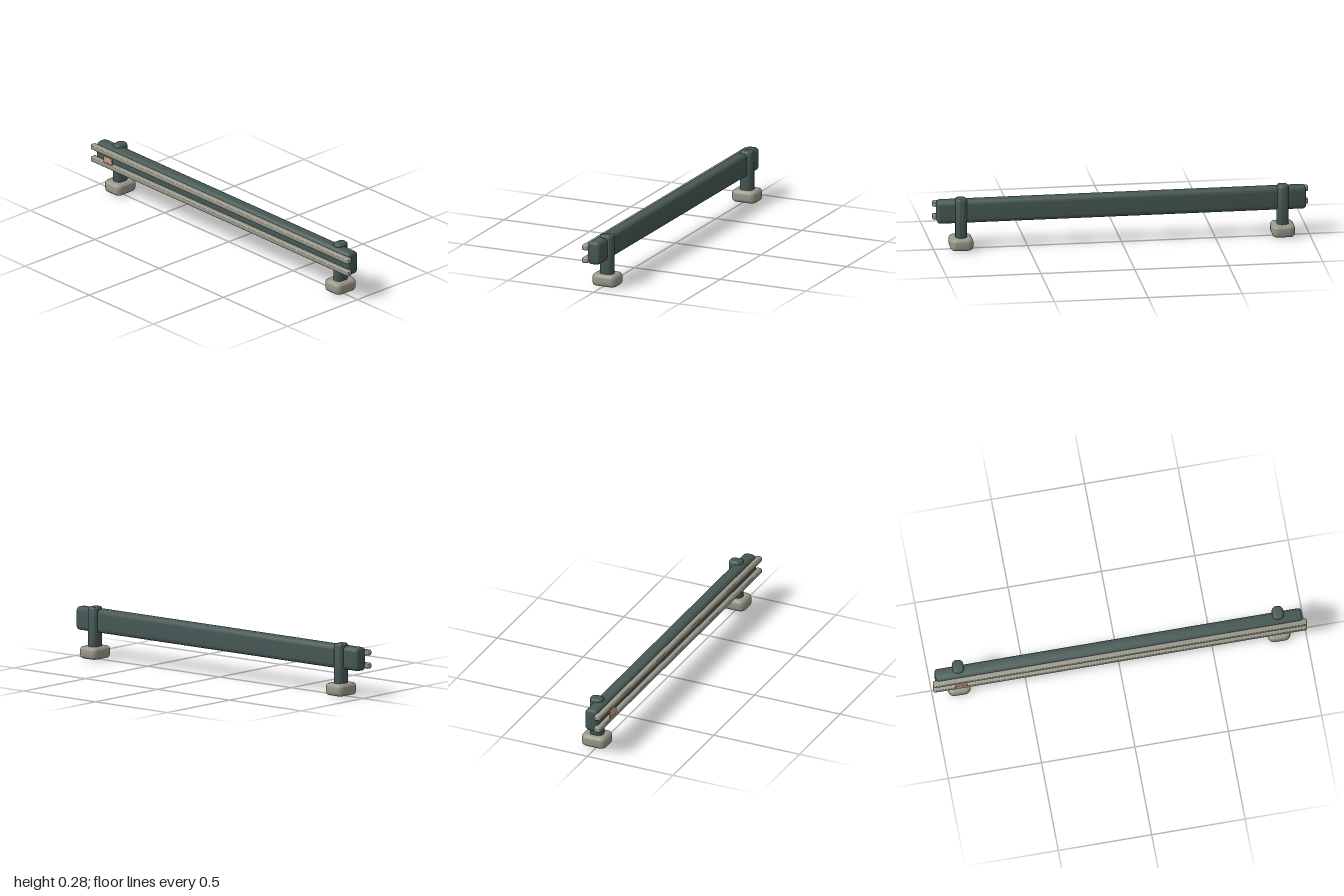
import * as THREE from 'three';
import { toCreasedNormals } from 'three/addons/utils/BufferGeometryUtils.js';

// Bar with a rounded cross-section (w x h), bevelled ends, centred, running along z
function roundedBar(w, h, length, radius, bevel) {
  const x = w / 2, y = h / 2, r = radius;
  const s = new THREE.Shape();
  s.moveTo(-x + r, -y);
  s.lineTo(x - r, -y);
  s.absarc(x - r, -y + r, r, -Math.PI / 2, 0);
  s.lineTo(x, y - r);
  s.absarc(x - r, y - r, r, 0, Math.PI / 2);
  s.lineTo(-x + r, y);
  s.absarc(-x + r, y - r, r, Math.PI / 2, Math.PI);
  s.lineTo(-x, -y + r);
  s.absarc(-x + r, -y + r, r, Math.PI, Math.PI * 1.5);
  const g = new THREE.ExtrudeGeometry(s, {
    depth: length - 2 * bevel, curveSegments: 5,
    bevelEnabled: true, bevelThickness: bevel, bevelSize: bevel,
    bevelOffset: -bevel, bevelSegments: 3,
  });
  g.center();
  return toCreasedNormals(g, 0.6);
}

export function createModel() {
  const model = new THREE.Group();
  model.name = 'barrier';

  const material = (name, color) => {
    const m = new THREE.MeshStandardMaterial({ color });
    m.name = name;
    return m;
  };
  const darkGreen = material('dark grey green', 0x465855);
  const stone = material('stone grey', 0x99988a);
  const copper = material('pale copper', 0xcb9c88);

  const add = (name, geometry, mat, x, y, z) => {
    const mesh = new THREE.Mesh(geometry, mat);
    mesh.name = name;
    mesh.position.set(x, y, z);
    model.add(mesh);
  };

  // Long beam
  add('beam', roundedBar(0.073, 0.125, 1.962, 0.023, 0.015).rotateY(Math.PI / 2),
    darkGreen, 0, 0.206, 0.0115);

  // Two rails along the front
  const rail = roundedBar(0.036, 0.031, 2, 0.011, 0.008).rotateY(Math.PI / 2);
  add('upperRail', rail, stone, 0, 0.238, 0.054);
  add('lowerRail', rail, stone, 0, 0.168, 0.054);

  // Posts and their feet
  const post = roundedBar(0.06, 0.075, 0.281, 0.026, 0.01).rotateX(-Math.PI / 2);
  const foot = roundedBar(0.12, 0.141, 0.064, 0.032, 0.017).rotateX(-Math.PI / 2);
  for (const [side, x] of [['left', 0.856], ['right', -0.856]]) {
    add(side + 'Post', post, darkGreen, x, 0.1415, -0.011);
    add(side + 'Foot', foot, stone, x, 0.039, -0.0115);
  }

  // Small marker plate in front of the rails
  add('markerPlate', roundedBar(0.068, 0.036, 0.011, 0.004, 0.003),
    copper, -0.852, 0.21, 0.0785);

  return model;
}
